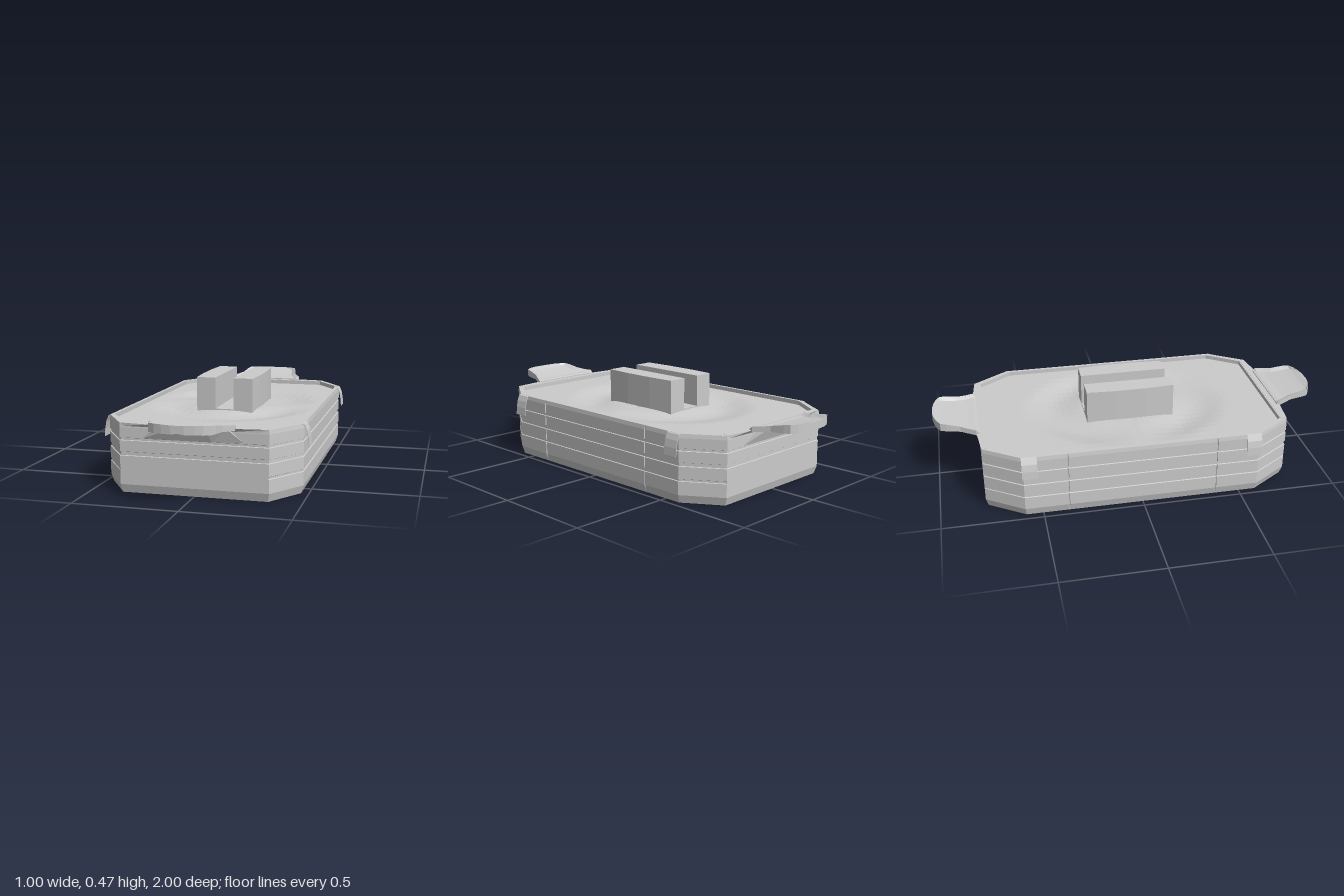
import * as THREE from 'three';

const material = new THREE.MeshStandardMaterial({ color: 0xcccccc, flatShading: true, side: THREE.DoubleSide });

function add(parent, name, geometry) {
  const mesh = new THREE.Mesh(geometry, material);
  mesh.name = name;
  parent.add(mesh);
}

// Skin a list of equal-length rings of [x, y, z], closing both ends
function loft(rings) {
  const out = [];
  const n = rings[0].length;
  const tri = (...pts) => pts.forEach((p) => out.push(...p));
  const middle = (ring) => [0, 1, 2].map((k) => ring.reduce((s, p) => s + p[k], 0) / n);
  const first = rings[0], last = rings[rings.length - 1];
  for (let i = 0; i < n; i++) {
    const j = (i + 1) % n;
    for (let r = 0; r < rings.length - 1; r++) {
      const a = rings[r], b = rings[r + 1];
      tri(a[i], b[i], a[j]);
      tri(a[j], b[i], b[j]);
    }
    tri(middle(first), first[i], first[j]);
    tri(middle(last), last[j], last[i]);
  }
  const g = new THREE.BufferGeometry();
  g.setAttribute('position', new THREE.Float32BufferAttribute(out, 3));
  g.computeVertexNormals();
  return g;
}

// Long octagon, inset by dx and dz, with a narrow vertical slit twice per long side
function octagon(dx, dz, y, slit) {
  const x = 0.475 - dx, z = 0.59 - dz * 0.45, cx = 0.352 - dx * 0.6, cz = 0.775 - dz;
  const quarter = [[x, 0.369], [x - slit, 0.371], [x - slit, 0.375], [x, 0.377], [x, z], [cx, cz]];
  const flipped = [...quarter].reverse();
  return [
    ...quarter,
    ...flipped.map(([a, b]) => [-a, b]),
    ...quarter.map(([a, b]) => [-a, -b]),
    ...flipped.map(([a, b]) => [a, -b]),
  ].map(([a, b]) => [a, y, b]);
}

// Dish: hollowed foot, grooved wall, rim and the recess holding the lid
function buildDish(group) {
  const rings = [
    octagon(0.11, 0.11, 0.018, 0), octagon(0.012, 0.012, 0, 0), octagon(0, 0, 0.04, 0.004),
  ];
  // the lowest groove leaves the short ends plain
  for (const [low, high, endDepth] of [[0.105, 0.118, 0], [0.176, 0.196, 0.004], [0.248, 0.262, 0.004]]) {
    rings.push(
      octagon(0, 0, low, 0.004), octagon(0.005, endDepth, low + 0.002, 0),
      octagon(0.005, endDepth, high - 0.002, 0), octagon(0, 0, high, 0.004));
  }
  rings.push(
    octagon(0, 0, 0.31, 0.004), octagon(0.003, 0.002, 0.33, 0),
    octagon(0.02, 0.035, 0.33, 0), octagon(0.02, 0.035, 0.27, 0));
  add(group, 'dish', loft(rings));
}

// Lid plate with a crescent finger hollow on each side of the grip and a cross crease
function buildLid(group) {
  const lid = new THREE.PlaneGeometry(2, 1.48, 20, 48).rotateX(-Math.PI / 2);
  const p = lid.attributes.position;
  for (let i = 0; i < p.count; i++) {
    const z = p.getZ(i);
    const half = 0.455 - Math.max(0, Math.abs(z) - 0.575) * 0.7;
    const x = p.getX(i) * half;
    const r = Math.hypot(x * 1.25, z);
    const hollow = Math.abs(r - 0.38) < 0.18 ? 0.5 + 0.5 * Math.cos((r - 0.38) / 0.18 * Math.PI) : 0;
    const crease = Math.abs(z) < 0.01 && Math.abs(x) < 0.44 ? 0.002 : 0;
    p.setXYZ(i, x, 0.309 - 0.022 * hollow * Math.min(1, Math.abs(z) * 4) - crease, z);
  }
  lid.computeVertexNormals();
  add(group, 'lid', lid);
}

// Two upright grip bars, bowed on the outside, on a thin base plate
function buildGrip(group) {
  for (const s of [-1, 1]) {
    const shape = new THREE.Shape([
      [0.048, -0.225], [0.145, -0.225], [0.154, -0.08], [0.154, 0.08], [0.145, 0.225], [0.048, 0.225],
    ].map(([x, z]) => new THREE.Vector2(x * s, z)));
    const bar = new THREE.ExtrudeGeometry(shape, { depth: 0.183, bevelEnabled: false });
    add(group, 'gripBar', bar.rotateX(-Math.PI / 2).translate(0, 0.29, 0));
  }
  add(group, 'gripBase', new THREE.BoxGeometry(0.12, 0.025, 0.45).translate(0, 0.301, 0));
}

// End handle: dished, upturned tongue with a raised lip, over a sloping bracket
function buildHandle(group, name, turn) {
  const handle = new THREE.Group();
  handle.name = name;
  handle.rotation.y = turn;
  // z, half width, lip height, underside height, depth of the dished top
  const sections = [
    [0.775, 0.2, 0.336, 0.322, 0], [0.79, 0.2, 0.349, 0.323, 0.01], [0.825, 0.182, 0.352, 0.326, 0.012],
    [0.865, 0.162, 0.359, 0.33, 0.013], [0.93, 0.152, 0.372, 0.334, 0.015], [0.962, 0.143, 0.376, 0.335, 0.012],
    [0.98, 0.112, 0.377, 0.335, 0.006], [0.992, 0.075, 0.377, 0.336, 0.001], [1, 0.03, 0.376, 0.337, 0],
  ];
  add(handle, 'handleTongue', loft(sections.map(([z, w, top, low, dip]) => [
    [w, top, z], [w, low, z], [0, low + 0.004, z], [-w, low, z],
    [-w, top, z], [-w * 0.86, top - dip, z], [0, top - dip, z], [w * 0.86, top - dip, z],
  ])));
  const bracketRing = (y, pts) => [
    [pts[0][0], 0.745], ...pts,
    ...[...pts].reverse().map(([x, z]) => [-x, z]), [-pts[0][0], 0.745],
  ].map(([x, z]) => [x, y, z]);
  add(handle, 'handleBracket', loft([
    bracketRing(0.262, [[0.24, 0.774], [0.09, 0.777]]),
    bracketRing(0.329, [[0.16, 0.791], [0.06, 0.803]]),
  ]));
  // bowed edge of the rim where the handle joins
  add(handle, 'rimBow', loft([
    bracketRing(0.316, [[0.345, 0.773], [0.2, 0.778]]),
    bracketRing(0.331, [[0.345, 0.774], [0.2, 0.79]]),
  ]));
  group.add(handle);
}

// Thin curved clips hanging from the rim
function buildClips(group) {
  const outer = [[0.468, 0.331], [0.478, 0.327], [0.49, 0.3], [0.497, 0.265], [0.5, 0.225]];
  const inner = outer.map(([x, y]) => [x - 0.003, y - 0.002]).reverse();
  const shape = new THREE.Shape([...outer, ...inner].map(([x, y]) => new THREE.Vector2(x, y)));
  for (const turn of [0, Math.PI]) {
    for (const z of [-0.597, 0.522]) {
      const clip = new THREE.ExtrudeGeometry(shape, { depth: 0.075, bevelEnabled: false });
      add(group, 'clip', clip.translate(0, 0, z).rotateY(turn));
    }
  }
}

export function createModel() {
  const group = new THREE.Group();
  group.name = 'lidded dish';
  buildDish(group);
  buildLid(group);
  buildGrip(group);
  buildHandle(group, 'frontHandle', 0);
  buildHandle(group, 'backHandle', Math.PI);
  buildClips(group);
  return group;
}
